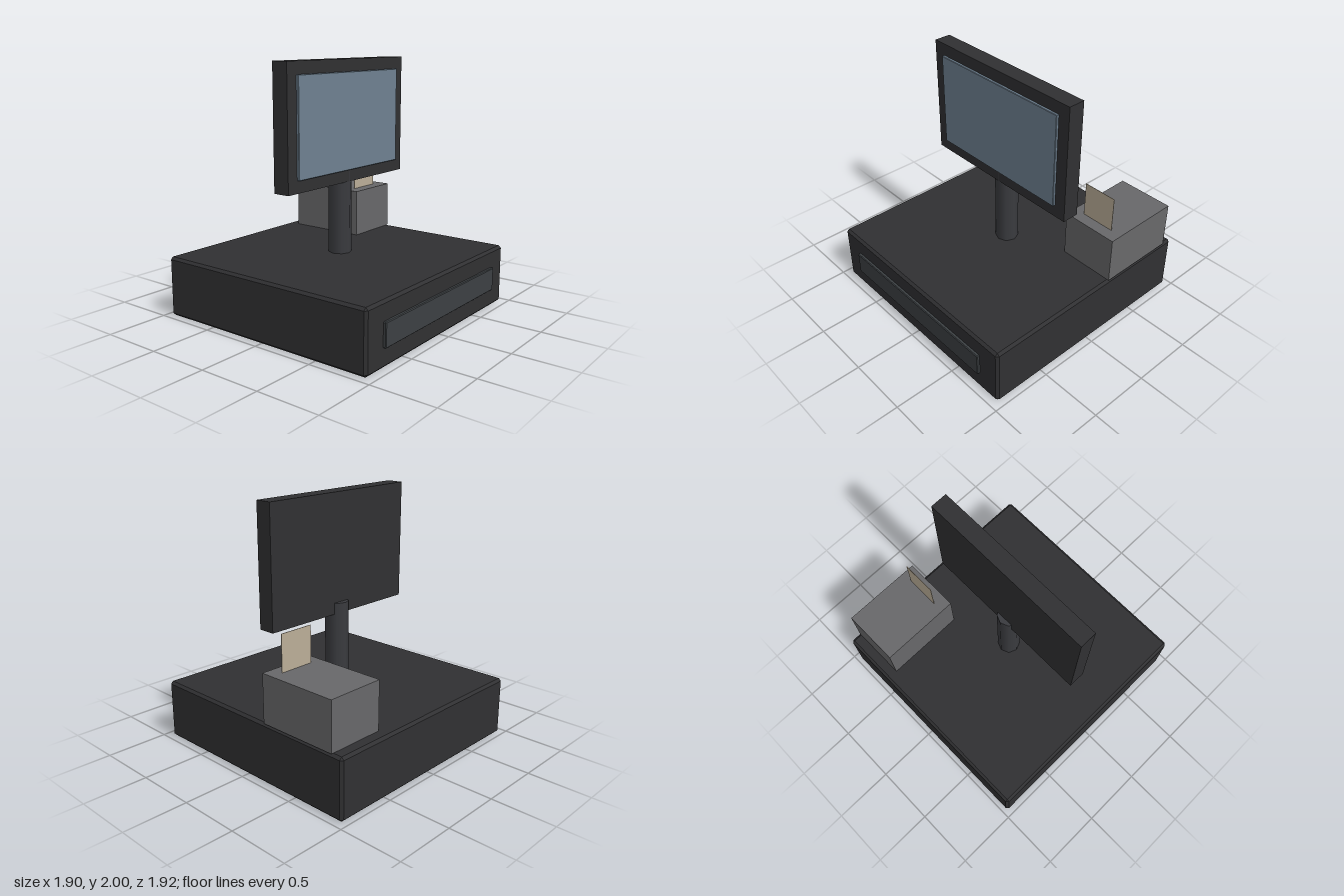
import * as THREE from 'three';
import { ConvexGeometry } from 'three/addons/geometries/ConvexGeometry.js';

const paint = (color) => new THREE.MeshStandardMaterial({ color });

// Box with flat chamfered edges: each corner becomes a small triangle
function chamferBox(w, h, d, c) {
  const points = [];
  for (const x of [-1, 1]) for (const y of [-1, 1]) for (const z of [-1, 1]) {
    for (let axis = 0; axis < 3; axis++) {
      const inset = [c, c, c];
      inset[axis] = 0;
      points.push(new THREE.Vector3(
        x * (w / 2 - inset[0]), y * (h / 2 - inset[1]), z * (d / 2 - inset[2])));
    }
  }
  return new ConvexGeometry(points);
}

export function createModel() {
  const model = new THREE.Group();
  model.name = 'cashRegister';

  // Adds a box given its extents along each axis
  function addBox(name, [x0, x1], [y0, y1], [z0, z1], material, chamfer = 0) {
    const size = [x1 - x0, y1 - y0, z1 - z0];
    const geometry = chamfer ? chamferBox(...size, chamfer) : new THREE.BoxGeometry(...size);
    const mesh = new THREE.Mesh(geometry, material);
    mesh.name = name;
    mesh.position.set((x0 + x1) / 2, (y0 + y1) / 2, (z0 + z1) / 2);
    model.add(mesh);
  }

  const dark = paint(0x303032);

  // Cash drawer
  addBox('drawerBase', [-0.95, 0.95], [0, 0.478], [-0.96, 0.94], dark, 0.02);
  addBox('drawerFront', [-0.76, 0.76], [0.15, 0.335], [0.92, 0.963], paint(0x3c4043), 0.006);

  // Display on its post
  const post = new THREE.Mesh(new THREE.CylinderGeometry(0.092, 0.092, 0.67, 8), paint(0x3a3b3f));
  post.name = 'post';
  post.position.set(0, 0.81, -0.011);
  model.add(post);
  addBox('monitor', [-0.712, 0.712], [1.055, 2], [-0.055, 0.08], dark);
  addBox('screen', [-0.615, 0.615], [1.15, 1.905], [0.075, 0.1], paint(0x6f8191), 0.004);

  // Receipt printer with its paper slip
  addBox('printer', [0.478, 0.948], [0.478, 0.86], [-0.865, -0.203], paint(0x68686a));
  addBox('receipt', [0.573, 0.853], [0.86, 1.145], [-0.302, -0.298], paint(0xbbae98));

  return model;
}
